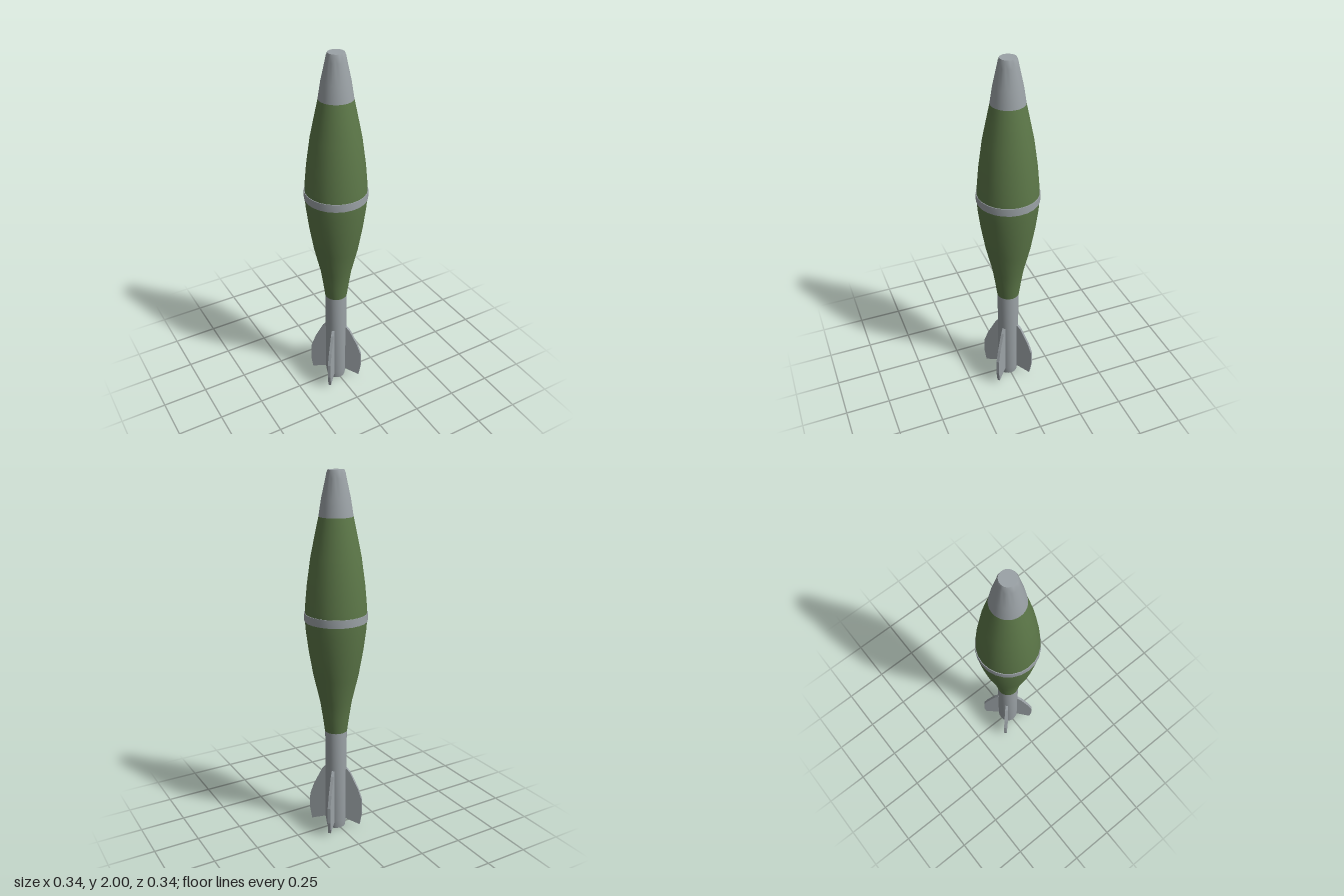
import * as THREE from 'three';
import { toCreasedNormals } from 'three/addons/utils/BufferGeometryUtils.js';

export function createModel() {
  const model = new THREE.Group();
  model.name = 'finnedShell';
  const green = new THREE.MeshStandardMaterial({ name: 'olive green', color: 0x5c7748 });
  const gray = new THREE.MeshStandardMaterial({ name: 'steel gray', color: 0x9ba2a6 });

  const add = (name, geometry, material) => {
    const mesh = new THREE.Mesh(geometry, material);
    mesh.name = name;
    model.add(mesh);
    return mesh;
  };
  // Turned part from [radius, height] pairs, bottom to top
  const turned = (name, profile, material, sides = 24) => {
    const points = profile.map(([r, y]) => new THREE.Vector2(r, y));
    add(name, toCreasedNormals(new THREE.LatheGeometry(points, sides), 0.5), material);
  };

  // Tail tube with a slightly tapered foot
  turned('tailTube', [[0, 0], [0.052, 0], [0.06, 0.05], [0.06, 0.61]], gray);

  // Lower and upper halves of the hull
  turned('lowerBody', [[0, 0.597], [0.062, 0.597], [0.073, 0.68], [0.087, 0.77], [0.122, 0.92],
    [0.146, 1.06], [0.16, 1.17], [0.165, 1.24]], green);
  turned('upperBody', [[0.165, 1.26], [0.163, 1.3], [0.152, 1.42], [0.131, 1.57],
    [0.106, 1.69], [0.088, 1.775]], green);

  // Band around the widest point
  turned('bodyBand', [[0.164, 1.23], [0.168, 1.23], [0.168, 1.273], [0.163, 1.273]], gray);

  // Nose cap with a flat tip
  turned('noseCap', [[0.085, 1.772], [0.089, 1.772], [0.075, 1.86], [0.053, 1.96],
    [0.048, 1.985], [0.042, 2], [0, 2]], gray, 32);

  // Four fins on the diagonals
  const outline = [[0.045, 0.045], [0.065, 0.045], [0.142, 0.02], [0.154, 0.09], [0.152, 0.18],
    [0.128, 0.25], [0.082, 0.345], [0.062, 0.368], [0.045, 0.368]];
  const thick = 0.016;
  const finGeometry = new THREE.ExtrudeGeometry(
    new THREE.Shape(outline.map(([x, y]) => new THREE.Vector2(x, y))),
    { depth: thick, bevelEnabled: false });
  finGeometry.translate(0, 0, -thick / 2);
  for (let i = 0; i < 4; i++) {
    add('tailFin' + (i + 1), finGeometry, gray).rotation.y = Math.PI / 4 + i * Math.PI / 2;
  }
  return model;
}
